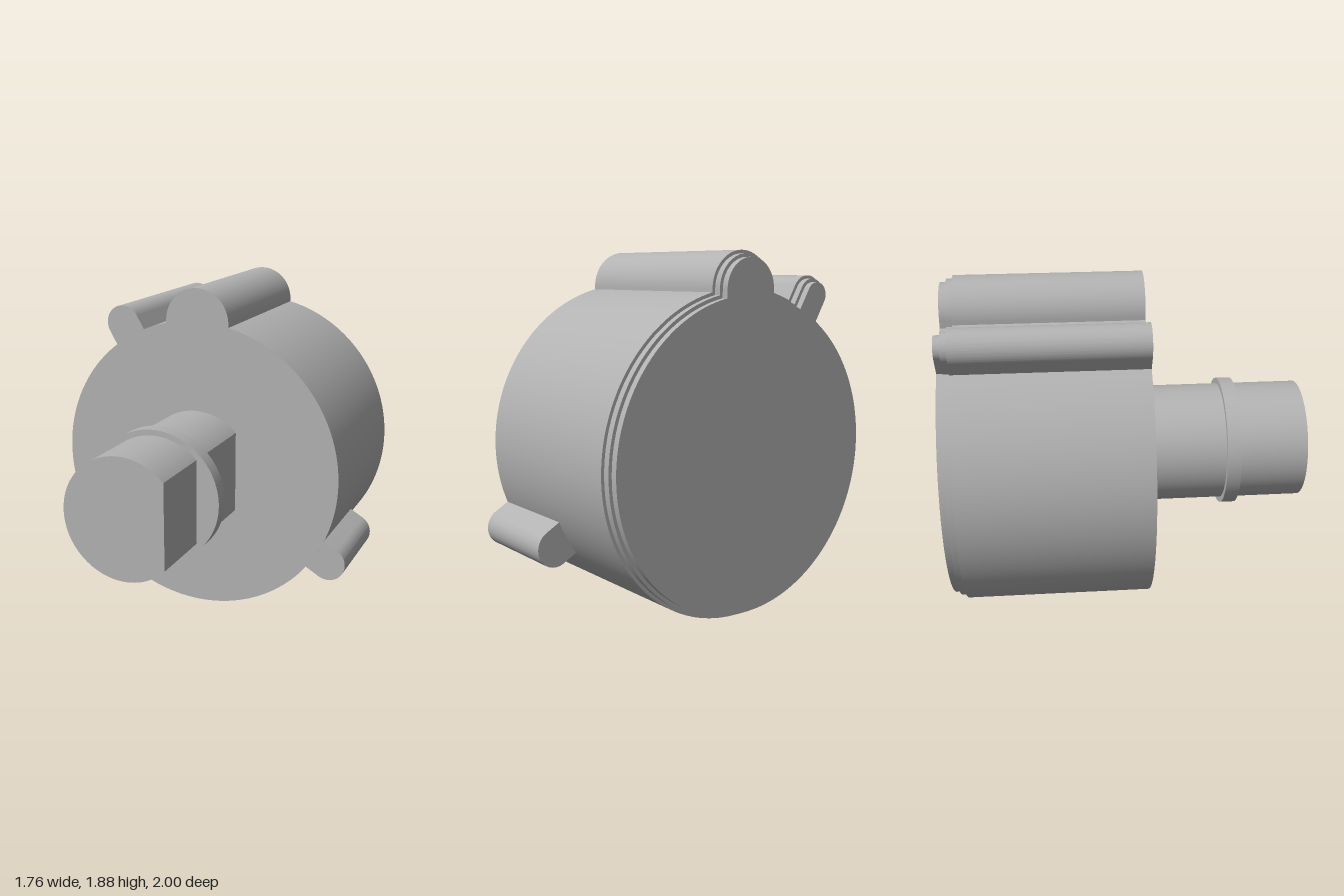
import * as THREE from 'three';
import { toCreasedNormals } from 'three/addons/utils/BufferGeometryUtils.js';

const CX = -0.03, CY = 0.85, R = 0.85;
const rad = THREE.MathUtils.degToRad;

// Lugs on the rim: direction, distance of the round tip from the axis, tip radius
const topLug = { angle: rad(90), dist: 0.845, r: 0.19 };
const cornerLug = { angle: rad(120), dist: 0.932, r: 0.102 };
const sideLug = { angle: rad(-30), dist: 0.93, r: 0.102 };

export function createModel() {
  const model = new THREE.Group();
  model.name = 'motor';
  const grey = new THREE.MeshStandardMaterial({ color: 0xb2b2b2 });
  grey.name = 'grey';

  // Extrude an outline centred on the axis between two depths
  function extrude(name, shape, zBack, zFront) {
    const geo = new THREE.ExtrudeGeometry(shape, {
      depth: zFront - zBack, bevelEnabled: false, curveSegments: 72,
    });
    const mesh = new THREE.Mesh(toCreasedNormals(geo, 0.4), grey);
    mesh.name = name;
    mesh.position.set(CX, CY, zBack);
    model.add(mesh);
  }

  // Rounded tip of a lug, drawn counterclockwise
  function addTip(shape, { angle, dist, r }, inset) {
    shape.absarc(Math.cos(angle) * dist, Math.sin(angle) * dist, r - inset,
      angle - Math.PI / 2, angle + Math.PI / 2, false);
  }
  const halfAngle = (lug, inset) => Math.asin((lug.r - inset) / (R - inset));

  // Drum outline with its two full-length lugs, shrunk by an inset
  function drumOutline(inset) {
    const s = new THREE.Shape();
    const a = halfAngle(topLug, inset), b = halfAngle(cornerLug, inset);
    addTip(s, topLug, inset);
    s.absarc(0, 0, R - inset, topLug.angle + a, cornerLug.angle - b, false);
    addTip(s, cornerLug, inset);
    s.absarc(0, 0, R - inset, cornerLug.angle + b, topLug.angle - a + Math.PI * 2, false);
    s.closePath();
    return s;
  }

  // Drum and the two small steps at its back
  extrude('drum', drumOutline(0), -0.93, 0.09);
  extrude('rearStep', drumOutline(0.017), -0.965, -0.93);
  extrude('rearPlate', drumOutline(0.035), -1, -0.965);

  // Short side lug, its root following the drum
  const lug = new THREE.Shape();
  const h = halfAngle(sideLug, 0);
  addTip(lug, sideLug, 0);
  lug.absarc(0, 0, R, sideLug.angle + h, sideLug.angle - h, true);
  lug.closePath();
  extrude('sideLug', lug, -0.45, 0.09);

  // Shaft with one flat side, and the full round collar
  const shaft = new THREE.Shape();
  const flat = Math.acos(0.24 / 0.335);
  shaft.absarc(0, 0, 0.335, flat, Math.PI * 2 - flat, false);
  shaft.closePath();
  extrude('shaft', shaft, 0.09, 1);

  const collar = new THREE.Shape().absarc(0, 0, 0.367, 0, Math.PI * 2, false);
  extrude('collar', collar, 0.54, 0.62);

  return model;
}
